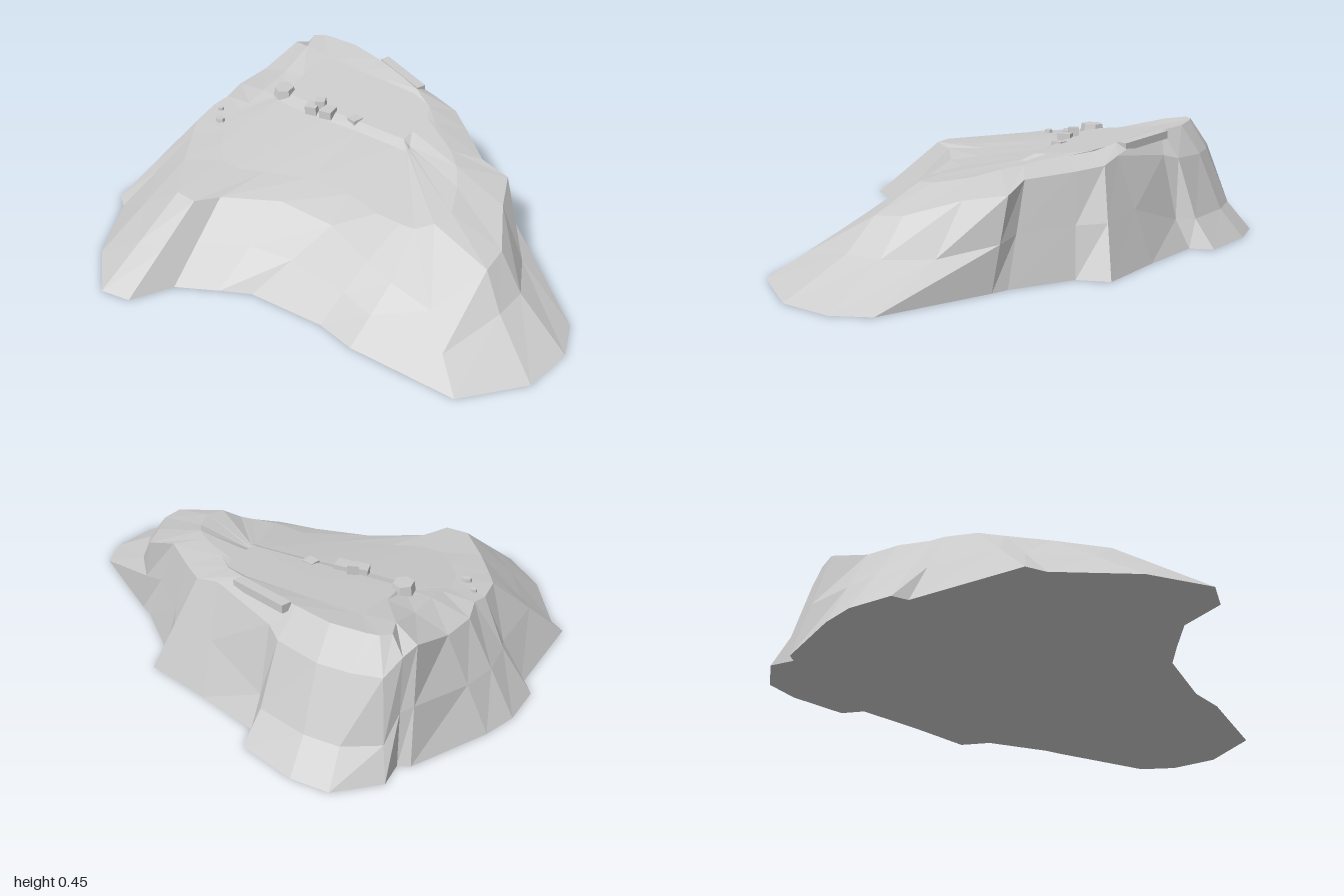
import * as THREE from 'three';

const grey = () => new THREE.MeshStandardMaterial({ color: 0xcccccc, flatShading: true });

// Contours run clockwise seen from above, starting at the back left lump
// Foot of the slope: x, z
const FOOT = [
  -0.66, -0.87, -0.52, -0.88, -0.3, -0.83, -0.27, -0.74, -0.02, -0.68, 0.25, -0.63,
  0.29, -0.51, 0.5, -0.35, 0.56, -0.32, 0.94, -0.1, 1, 0.04, 0.98, 0.24,
  0.81, 0.46, 0.38, 0.5, 0.22, 0.48, -0.09, 0.52, -0.2, 0.585, -0.35, 0.68,
  -0.43, 0.84, -0.55, 0.87, -0.73, 0.72, -0.89, 0.47, -0.95, 0.43, -0.95, 0,
  -1, -0.03, -1, -0.2, -0.96, -0.33, -0.82, -0.62, -0.78, -0.64, -0.79, -0.74,
];
// Top of the cliffs: x, y, z
const RIM = [
  -0.62, 0.33, -0.68, -0.5, 0.33, -0.69, -0.33, 0.34, -0.66, -0.27, 0.36, -0.62,
  0, 0.4, -0.54, 0.1, 0.38, -0.53, 0.2, 0.37, -0.46, 0.36, 0.36, -0.34,
  0.48, 0.33, -0.34, 0.55, 0.31, -0.2, 0.66, 0.26, -0.03, 0.67, 0.25, 0.08,
  0.58, 0.15, 0.29, 0.4, 0.18, 0.29, 0.28, 0.21, 0.28, 0.08, 0.25, 0.24,
  -0.15, 0.27, 0.27, -0.35, 0.27, 0.4, -0.4, 0.28, 0.49, -0.49, 0.28, 0.49,
  -0.62, 0.29, 0.33, -0.71, 0.3, 0.2, -0.76, 0.31, 0.12, -0.78, 0.32, 0,
  -0.77, 0.33, -0.07, -0.8, 0.33, -0.18, -0.79, 0.34, -0.33, -0.77, 0.4, -0.52,
  -0.75, 0.38, -0.58, -0.72, 0.33, -0.65,
];
// Gentle upper slope: x, y, z
const SHOULDER = [
  -0.63, 0.44, -0.6, -0.5, 0.44, -0.61, -0.35, 0.44, -0.58, -0.26, 0.44, -0.56,
  -0.08, 0.43, -0.5, 0.02, 0.41, -0.45, 0.1, 0.4, -0.38, 0.25, 0.385, -0.28,
  0.32, 0.375, -0.22, 0.38, 0.35, -0.14, 0.44, 0.33, -0.02, 0.42, 0.32, 0.06,
  0.36, 0.29, 0.1, 0.3, 0.29, 0.11, 0.2, 0.295, 0.12, 0.05, 0.3, 0.1,
  -0.13, 0.305, 0.12, -0.3, 0.3, 0.2, -0.4, 0.3, 0.25, -0.48, 0.3, 0.25,
  -0.56, 0.31, 0.18, -0.62, 0.315, 0.1, -0.64, 0.32, 0.05, -0.65, 0.33, -0.03,
  -0.65, 0.34, -0.08, -0.65, 0.36, -0.17, -0.66, 0.38, -0.32, -0.67, 0.43, -0.48,
  -0.7, 0.44, -0.56, -0.67, 0.44, -0.59,
];

const points = (a) => Array.from({ length: a.length / 3 }, (_, i) => new THREE.Vector3().fromArray(a, i * 3));

// Skins nested contours from the outside in and closes the middle with a fan
function skin(rings, centre) {
  const n = rings[0].length, index = [];
  const pos = rings.flat().concat(centre).flatMap((p) => p.toArray());
  for (let j = 0; j < n; j++) {
    const k = (j + 1) % n;
    for (let r = 0; r < rings.length - 1; r++) {
      const o = r * n, i = o + n;
      index.push(i + j, o + k, o + j, i + j, i + k, o + k);
    }
    const last = (rings.length - 1) * n;
    index.push(rings.length * n, last + k, last + j);
  }
  const g = new THREE.BufferGeometry();
  g.setAttribute('position', new THREE.Float32BufferAttribute(pos, 3));
  g.setIndex(index);
  g.computeVertexNormals();
  return g;
}

export function createModel() {
  const hill = new THREE.Group();
  hill.name = 'rockyHill';
  const add = (name, geometry, x = 0, y = 0, z = 0, ry = 0, rz = 0) => {
    const m = new THREE.Mesh(geometry, grey());
    m.name = name;
    m.position.set(x, y, z);
    m.rotation.set(0, ry, rz);
    hill.add(m);
  };

  // Contours: foot, cliff break, rim, shoulder, terrace foot, terrace edge
  const rim = points(RIM), shoulder = points(SHOULDER);
  const foot = rim.map((_, i) => new THREE.Vector3(FOOT[i * 2], 0, FOOT[i * 2 + 1]));
  const cliff = foot.map((p, i) => {
    const q = p.clone().lerp(rim[i], 0.5);
    if (i < 4 || i === 29) q.y = 0.11; // low ledge on the back lump
    if (i >= 9 && i <= 11) { // flared east toe
      q.lerpVectors(p, rim[i], 0.68);
      q.y = 0.13;
    }
    return q;
  });
  const terrace = shoulder.map((p) => {
    const x = THREE.MathUtils.clamp(p.x, -0.54, 0.06);
    const z = THREE.MathUtils.clamp(p.z, -0.48, -0.19 - 0.06 * (x + 0.54));
    return new THREE.Vector3(x, 0.385 - (z + 0.22) * 0.13, z);
  });
  const terraceFoot = terrace.map((p, i) => {
    const q = p.clone().lerp(shoulder[i], 0.12);
    if (p.z > -0.28) q.y = 0.365;
    return q;
  });
  add('hillside', skin([foot, cliff, rim, shoulder, terraceFoot, terrace], new THREE.Vector3(-0.25, 0.4, -0.33)));

  // Flat underside
  const outline = new THREE.Shape(foot.map((p) => new THREE.Vector2(p.x, p.z)));
  add('underside', new THREE.ShapeGeometry(outline).rotateX(Math.PI / 2));

  // Spur along the back edge of the summit
  add('summitSpur', new THREE.BoxGeometry(0.26, 0.03, 0.04), -0.2, 0.425, -0.56, -0.28, -0.05);

  // Square blocks along the terrace edge: x, y, z, width, turn
  [
    [-0.37, 0.382, -0.17, 0.05, 0.3],
    [-0.3, 0.382, -0.185, 0.055, 0.2],
    [-0.35, 0.4, -0.2, 0.04, 0.5],
    [-0.18, 0.372, -0.215, 0.045, -0.2],
  ].forEach(([x, y, z, w, turn]) => add('terraceBlock', new THREE.BoxGeometry(w, 0.038, w), x, y, z, turn, 0.06));

  // Flat boulder and two pebbles: x, y, z, radius, height, depth scale
  [
    ['boulder', -0.55, 0.385, -0.195, 0.045, 0.036, 1.15],
    ['pebble', -0.73, 0.322, 0.01, 0.014, 0.02, 1],
    ['pebble', -0.675, 0.322, 0.07, 0.022, 0.02, 0.8],
  ].forEach(([name, x, y, z, r, h, d]) =>
    add(name, new THREE.CylinderGeometry(r * 0.85, r, h, 6).scale(1, 1, d), x, y, z, 0.2));

  return hill;
}
